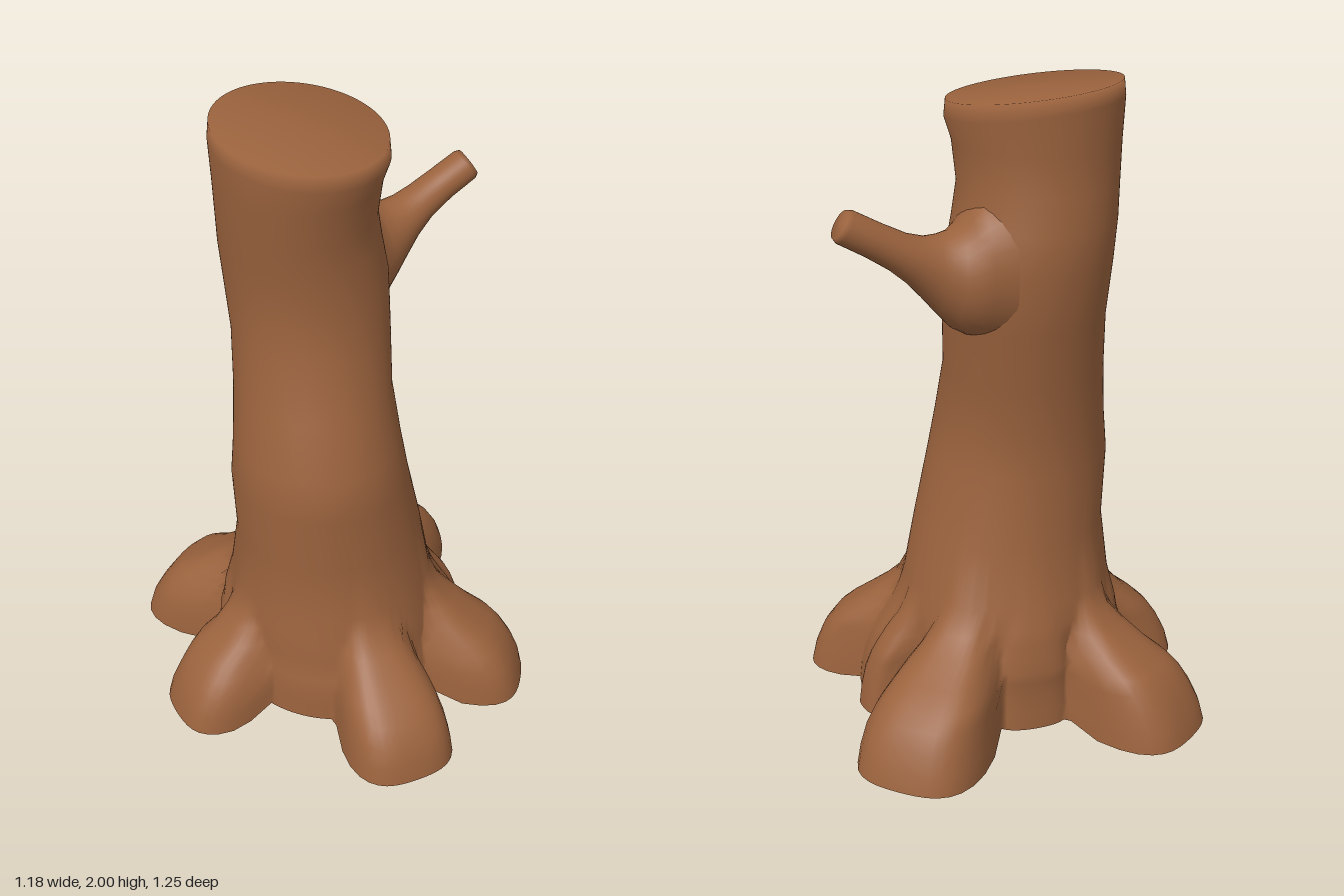
import * as THREE from 'three';

const SIDES = 144;

// Skin closed rings of points, listed from bottom to top (or root to tip).
function loft(rings, material, name) {
  const n = rings[0].length, pos = [], index = [];
  rings.forEach(r => r.forEach(p => pos.push(p.x, p.y, p.z)));
  for (let i = 0; i < rings.length - 1; i++) {
    for (let j = 0; j < n; j++) {
      const k = (j + 1) % n;
      const a = i * n + j, b = i * n + k, c = a + n, d = b + n;
      index.push(a, c, b, b, c, d);
    }
  }
  const g = new THREE.BufferGeometry();
  g.setAttribute('position', new THREE.Float32BufferAttribute(pos, 3));
  g.setIndex(index);
  g.computeVertexNormals();
  const mesh = new THREE.Mesh(g, material);
  mesh.name = name;
  return mesh;
}

const ring = (n, fn) => Array.from({ length: n }, (_, j) => fn(j / n * Math.PI * 2));

// Roots: angle (degrees from +x towards +z), reach, half width (degrees), slope power
const ROOTS = [
  [-48, 0.745, 25, 0.8],
  [-128, 0.715, 24, 0.95],
  [174, 0.60, 24, 1.3],
  [88, 0.63, 25, 1],
  [33, 0.635, 23, 0.95],
  [10, 0.46, 20, 1.2], // low webs between neighbouring roots
  [-9, 0.49, 13, 1.1],
  [-88, 0.40, 24, 0.8],
  [-157, 0.40, 16, 0.8],
];

// How far the strongest root pushes out at this angle; f is 0 at the top, 1 at the ground
function rootPush(deg, core, f) {
  let push = 0;
  for (const [angle, reach, width, power] of ROOTS) {
    const d = Math.abs(((deg - angle + 540) % 360 + 360) % 360 - 180);
    const shape = 1 - Math.pow(d / width, 3.8);
    push = Math.max(push, (reach - core) * Math.max(0, Math.pow(f, power) - 1 + shape));
  }
  return push;
}

function trunkRings() {
  const rings = [];

  // Root flare: height, root fraction, centre x, centre z, core radius
  const flare = [
    [0.00, 1.00, 0, 0, 0.352],
    [0.06, 0.95, 0, 0, 0.350],
    [0.12, 0.86, 0, 0, 0.348],
    [0.17, 0.75, 0, -0.01, 0.346],
    [0.21, 0.62, 0, -0.02, 0.344],
    [0.25, 0.43, 0, -0.02, 0.342],
    [0.30, 0.22, -0.003, -0.03, 0.341],
    [0.35, 0.07, -0.005, -0.033, 0.336],
    [0.42, 0.01, -0.008, -0.033, 0.323],
  ];
  for (const [y, f, cx, cz, core] of flare) {
    rings.push(ring(SIDES, t => {
      const push = rootPush(t * 180 / Math.PI, core, f);
      const r = core + push;
      // the hem lifts a little between the roots
      const lift = 0.04 * (1 - y / 0.42) * Math.max(0, 1 - push / 0.12);
      return new THREE.Vector3(cx + r * Math.cos(t), y + lift, cz + r * Math.sin(t));
    }));
  }

  // Leaning trunk: height, x min, x max, z min, z max
  const trunk = [
    [0.60, -0.315, 0.280, -0.310, 0.255],
    [0.82, -0.330, 0.225, -0.300, 0.275],
    [0.95, -0.315, 0.205, -0.300, 0.245],
    [1.12, -0.295, 0.190, -0.325, 0.190],
    [1.30, -0.280, 0.207, -0.360, 0.120],
    [1.48, -0.292, 0.205, -0.387, 0.108],
    [1.60, -0.305, 0.180, -0.380, 0.110],
    [1.70, -0.313, 0.160, -0.365, 0.120],
    [1.82, -0.322, 0.170, -0.358, 0.138],
  ];
  for (const [y, x0, x1, z0, z1] of trunk) {
    rings.push(ring(SIDES, t => new THREE.Vector3(
      (x0 + x1) / 2 + (x1 - x0) / 2 * Math.cos(t), y,
      (z0 + z1) / 2 + (z1 - z0) / 2 * Math.sin(t))));
  }

  // Slanted cut at the top, softly rounded at the rim
  for (const [y, r] of [[1.915, 0.26], [1.965, 0.255], [1.965, 0]]) {
    rings.push(ring(SIDES, t => {
      const dx = r * Math.cos(t), dz = r * Math.sin(t);
      return new THREE.Vector3(-0.07 + dx, y - 0.095 * (dx + dz), -0.107 + dz);
    }));
  }
  return rings;
}

function branchRings() {
  // x, y, z, half height, half depth, tilt: flared at the trunk, cut at the tip
  const stations = [
    [0.060, 1.480, -0.175, 0.240, 0.190, 0],
    [0.130, 1.475, -0.190, 0.210, 0.172, 0],
    [0.170, 1.465, -0.197, 0.182, 0.152, 0.04],
    [0.205, 1.462, -0.205, 0.154, 0.130, 0.10],
    [0.240, 1.478, -0.212, 0.122, 0.110, 0.20],
    [0.280, 1.503, -0.222, 0.094, 0.092, 0.32],
    [0.325, 1.530, -0.235, 0.071, 0.076, 0.45],
    [0.380, 1.563, -0.247, 0.057, 0.064, 0.54],
    [0.450, 1.605, -0.253, 0.052, 0.057, 0.56],
    [0.530, 1.651, -0.256, 0.051, 0.055, 0.56],
    [0.543, 1.659, -0.256, 0.044, 0.047, 0.56],
    [0.546, 1.661, -0.256, 0, 0, 0.56],
  ];
  return stations.map(([x, y, z, h, d, tilt]) => ring(32, t => new THREE.Vector3(
    x - Math.sin(tilt) * h * Math.sin(t),
    y + Math.cos(tilt) * h * Math.sin(t),
    z + d * Math.cos(t))));
}

export function createModel() {
  const bark = new THREE.MeshStandardMaterial({ color: 0x9a623d });
  bark.name = 'bark brown';
  bark.side = THREE.DoubleSide; // the stump is an open shell underneath

  const model = new THREE.Group();
  model.name = 'treeStump';
  model.add(loft(trunkRings(), bark, 'trunkAndRoots'));
  model.add(loft(branchRings(), bark, 'branchStub'));
  return model;
}
